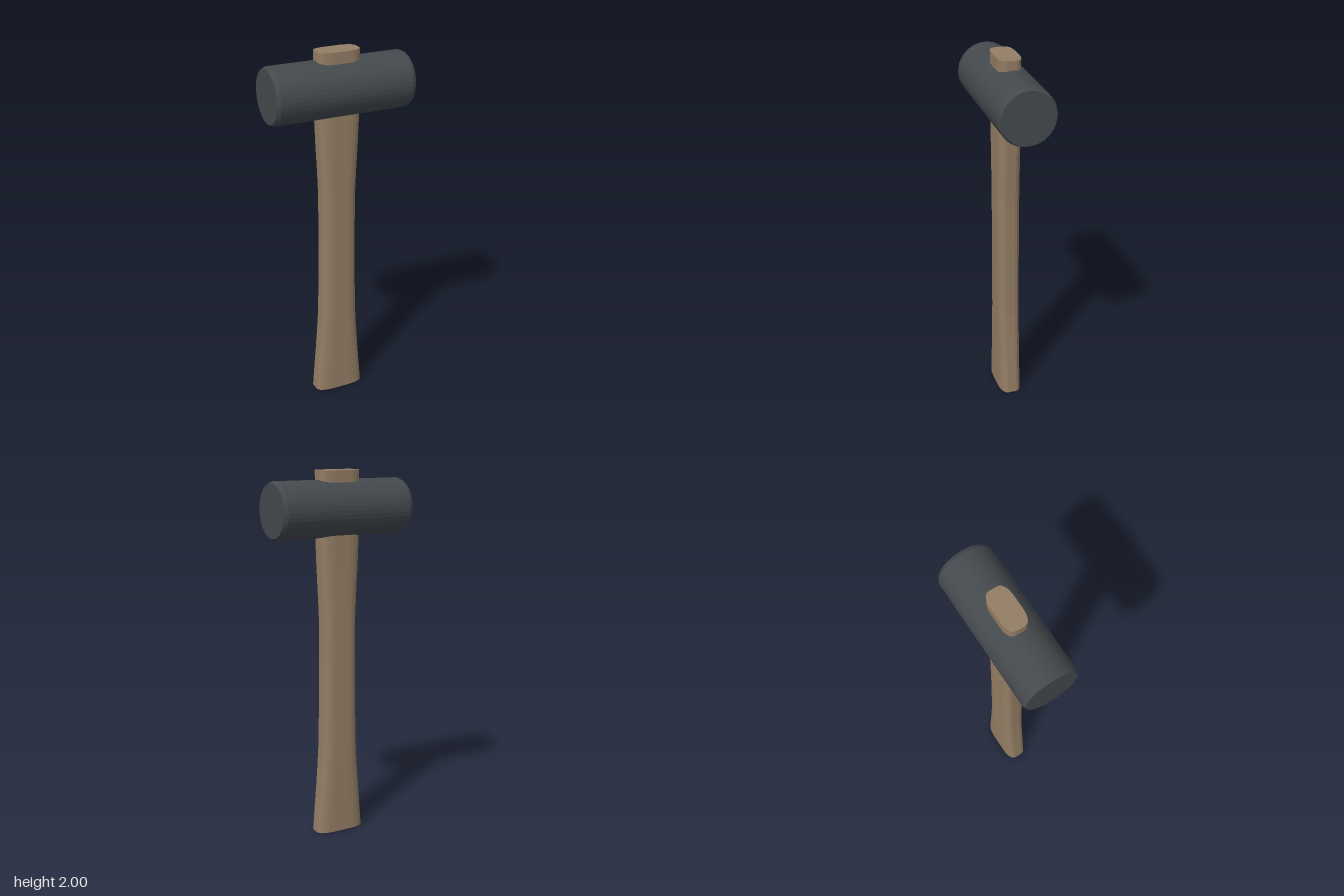
import * as THREE from 'three';

// Handle: a rounded flat section swept upward, its width following a waisted profile
function handleGeometry() {
  const depth = 0.062;
  // quarter section: [fraction of half width, fraction of half depth]
  const quarter = [[1, 0.4], [0.965, 0.6], [0.88, 0.76], [0.76, 0.88], [0.58, 0.97], [0.38, 1]];
  const back = [...quarter].reverse();
  const section = [
    ...quarter,
    ...back.map(([x, z]) => [-x, z]),
    ...quarter.map(([x, z]) => [-x, -z]),
    ...back.map(([x, z]) => [x, -z]),
  ];
  // [height, half width]
  const profile = [
    [0, 0.14], [0.12, 0.13], [0.25, 0.119], [0.38, 0.109], [0.5, 0.102], [0.7, 0.098], [0.95, 0.095],
    [1.22, 0.096], [1.35, 0.102], [1.5, 0.11], [1.65, 0.116], [2, 0.117],
  ];
  const n = section.length;
  const position = [];
  const index = [];
  for (const [y, w] of profile) {
    for (const [x, z] of section) position.push(x * w, y, z * depth);
  }
  for (let r = 0; r < profile.length - 1; r++) {
    for (let i = 0; i < n; i++) {
      const a = r * n + i;
      const b = r * n + (i + 1) % n;
      index.push(a, a + n, b, b, a + n, b + n);
    }
  }
  // flat end caps
  const top = (profile.length - 1) * n;
  for (let i = 1; i < n - 1; i++) {
    index.push(0, i, i + 1);
    index.push(top, top + i + 1, top + i);
  }
  const geometry = new THREE.BufferGeometry();
  geometry.setAttribute('position', new THREE.Float32BufferAttribute(position, 3));
  geometry.setIndex(index);
  geometry.computeVertexNormals();
  return geometry;
}

// Head: a cylinder with chamfered rims, lying along x
function headGeometry() {
  const half = 0.386, radius = 0.151, chamfer = 0.02, inset = 0.01;
  const profile = [
    [0, -half], [radius - inset, -half], [radius, -half + chamfer],
    [radius, half - chamfer], [radius - inset, half], [0, half],
  ].map(([r, y]) => new THREE.Vector2(r, y));
  return new THREE.LatheGeometry(profile, 40).rotateZ(Math.PI / 2);
}

export function createModel() {
  const model = new THREE.Group();
  model.name = 'mallet';

  const wood = new THREE.MeshStandardMaterial({ color: 0x937d64, flatShading: true });
  const iron = new THREE.MeshStandardMaterial({ color: 0x44494d, flatShading: true });

  const handle = new THREE.Mesh(handleGeometry(), wood);
  handle.name = 'handle';

  const head = new THREE.Mesh(headGeometry(), iron);
  head.name = 'head';
  head.position.y = 1.8;

  model.add(handle, head);
  return model;
}
